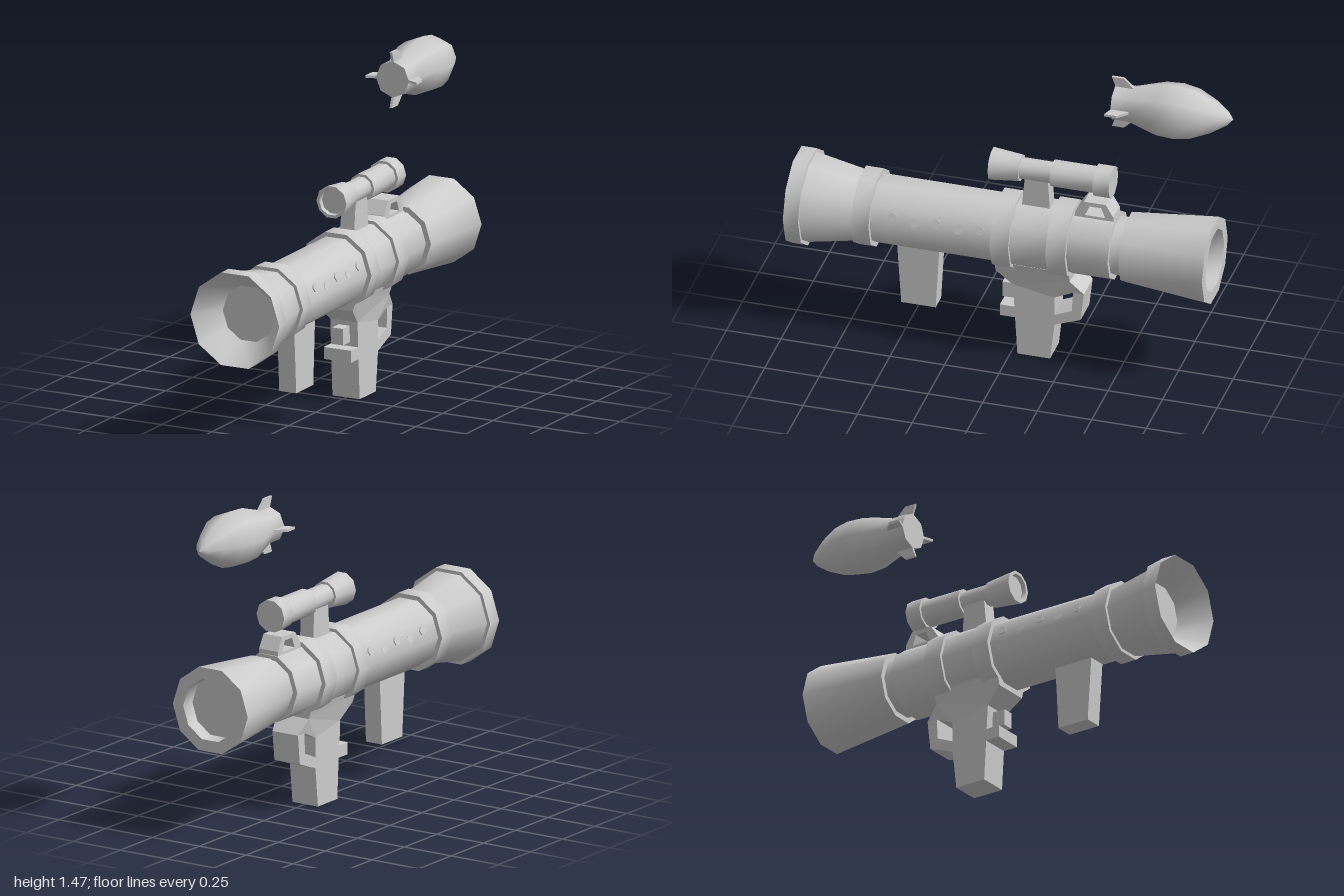
import * as THREE from 'three';
import { toCreasedNormals } from 'three/addons/utils/BufferGeometryUtils.js';

export function createModel() {
  const model = new THREE.Group();
  const grey = new THREE.MeshStandardMaterial({ color: 0xcccccc });
  grey.name = 'light grey';

  function add(name, geometry, parent = model) {
    const mesh = new THREE.Mesh(geometry, grey);
    mesh.name = name;
    parent.add(mesh);
    return mesh;
  }

  // Turned part along z at height y; profile is [radius, z], running from back to front
  function turned(name, profile, y, sides = 10, parent = model) {
    const points = profile.map(([r, z]) => new THREE.Vector2(r, z));
    let geo = new THREE.LatheGeometry(points, sides, Math.PI / 2);
    geo.rotateX(Math.PI / 2);
    geo = toCreasedNormals(geo, sides === 8 ? 0.85 : 0.7);
    return add(name, geo.translate(0, y, 0), parent);
  }

  // Side outline in [z, y], extruded across x
  function plate(outline, width, hole) {
    const toPoints = (list) => list.map(([z, y]) => new THREE.Vector2(z, y));
    const shape = new THREE.Shape(toPoints(outline));
    if (hole) shape.holes.push(new THREE.Path(toPoints(hole)));
    const geo = new THREE.ExtrudeGeometry(shape, { depth: width, bevelEnabled: false });
    return geo.translate(0, 0, -width / 2).rotateY(-Math.PI / 2);
  }

  // Launch tube with rear exhaust cone and front funnel
  const axis = 0.6;
  turned('rearCone', [[0, -0.85], [0.14, -0.85], [0.145, -0.915], [0.2, -0.915],
    [0.16, -0.52], [0.13, -0.52]], axis);
  turned('neck', [[0.135, -0.53], [0.135, -0.46]], axis);
  turned('barrel', [[0.13, -0.47], [0.158, -0.47], [0.158, 0.63]], axis);
  turned('frontFunnel', [[0.158, 0.69], [0.163, 0.7], [0.207, 0.935]], axis);
  turned('frontRim', [[0.2, 0.93], [0.222, 0.93], [0.222, 1], [0.13, 0.87], [0, 0.87]], axis);

  // Clamping rings
  for (const [z0, z1, r] of [[0.62, 0.7, 0.179], [-0.02, 0.065, 0.179],
    [-0.28, -0.19, 0.179], [-0.19, -0.02, 0.164]]) {
    turned('ring', [[0.15, z0], [r, z0], [r, z1], [0.15, z1]], axis);
  }

  // Shallow studs on the upper side facets of the barrel
  for (const side of [-1, 1]) {
    for (let i = 0; i < 5; i++) {
      const geo = new THREE.CylinderGeometry(0.022, 0.022, 0.006, 6);
      const a = Math.PI / 10;
      geo.rotateZ(-side * (Math.PI / 2 - a));
      const r = 0.158 * Math.cos(a);
      geo.translate(side * r * Math.cos(a), axis + r * Math.sin(a) + (i % 2 ? -0.007 : 0.007), 0.12 + i * 0.1);
      add('stud', geo);
    }
  }

  // Front handle
  add('frontHandle', plate([[0.53, 0.47], [0.335, 0.47], [0.352, 0.155], [0.51, 0.155]], 0.085));

  // Grip with rear guard, widened where it meets the tube
  const grip = plate([[0.065, 0.48], [0.065, 0.425], [-0.01, 0.355], [-0.03, 0], [-0.18, 0],
    [-0.2, 0.18], [-0.32, 0.225], [-0.335, 0.36], [-0.275, 0.425], [-0.275, 0.48]], 0.136,
  [[-0.2, 0.32], [-0.285, 0.36], [-0.28, 0.265], [-0.2, 0.23]]);
  const pos = grip.attributes.position;
  for (let i = 0; i < pos.count; i++) {
    const y = pos.getY(i);
    if (y > 0.4) pos.setX(i, pos.getX(i) * (y > 0.45 ? 1.5 : 1.25));
  }
  grip.computeVertexNormals();
  add('grip', grip);
  add('trigger', new THREE.BoxGeometry(0.055, 0.075, 0.07).translate(0, 0.297, 0.015));
  add('triggerRest', new THREE.BoxGeometry(0.136, 0.055, 0.08).translate(0, 0.213, 0.01));

  // Rear carrying bracket
  add('bracket', plate([[-0.285, 0.74], [-0.29, 0.77], [-0.33, 0.83], [-0.43, 0.83],
    [-0.465, 0.77], [-0.465, 0.74]], 0.1,
  [[-0.335, 0.762], [-0.355, 0.81], [-0.41, 0.81], [-0.427, 0.762]]));

  // Sighting scope on its mount
  const scope = new THREE.Group();
  scope.name = 'scope';
  model.add(scope);
  const scopeY = 0.922;
  turned('scopeCap', [[0, -0.45], [0.074, -0.45], [0.074, -0.375], [0.05, -0.375]], scopeY, 10, scope);
  turned('scopeBody', [[0.04, -0.38], [0.062, -0.38], [0.062, -0.175], [0.04, -0.175]], scopeY, 10, scope);
  turned('scopeNeck', [[0.05, -0.18], [0.05, -0.02]], scopeY, 10, scope);
  turned('scopeBell', [[0.04, -0.03], [0.061, -0.03], [0.075, 0.105], [0.061, 0.105],
    [0.058, 0.085], [0, 0.085]], scopeY, 10, scope);
  add('scopeMount', plate([[-0.04, 0.74], [-0.055, 0.9], [-0.16, 0.9], [-0.17, 0.74]], 0.07), scope);

  // Rocket hovering behind the launcher
  const rocket = new THREE.Group();
  rocket.name = 'rocket';
  rocket.position.y = 1.345;
  model.add(rocket);
  turned('rocketBody', [[0, -1], [0.032, -0.975], [0.076, -0.91], [0.115, -0.825], [0.128, -0.75],
    [0.123, -0.67], [0.083, -0.54], [0.083, -0.46], [0, -0.46]], 0, 8, rocket);
  for (let i = 0; i < 4; i++) {
    const fin = plate([[-0.46, 0.07], [-0.46, 0.085], [-0.445, 0.127], [-0.5, 0.127],
      [-0.545, 0.083], [-0.545, 0.07]], 0.012);
    add('fin', fin.rotateZ(i * Math.PI / 2), rocket);
  }

  return model;
}
